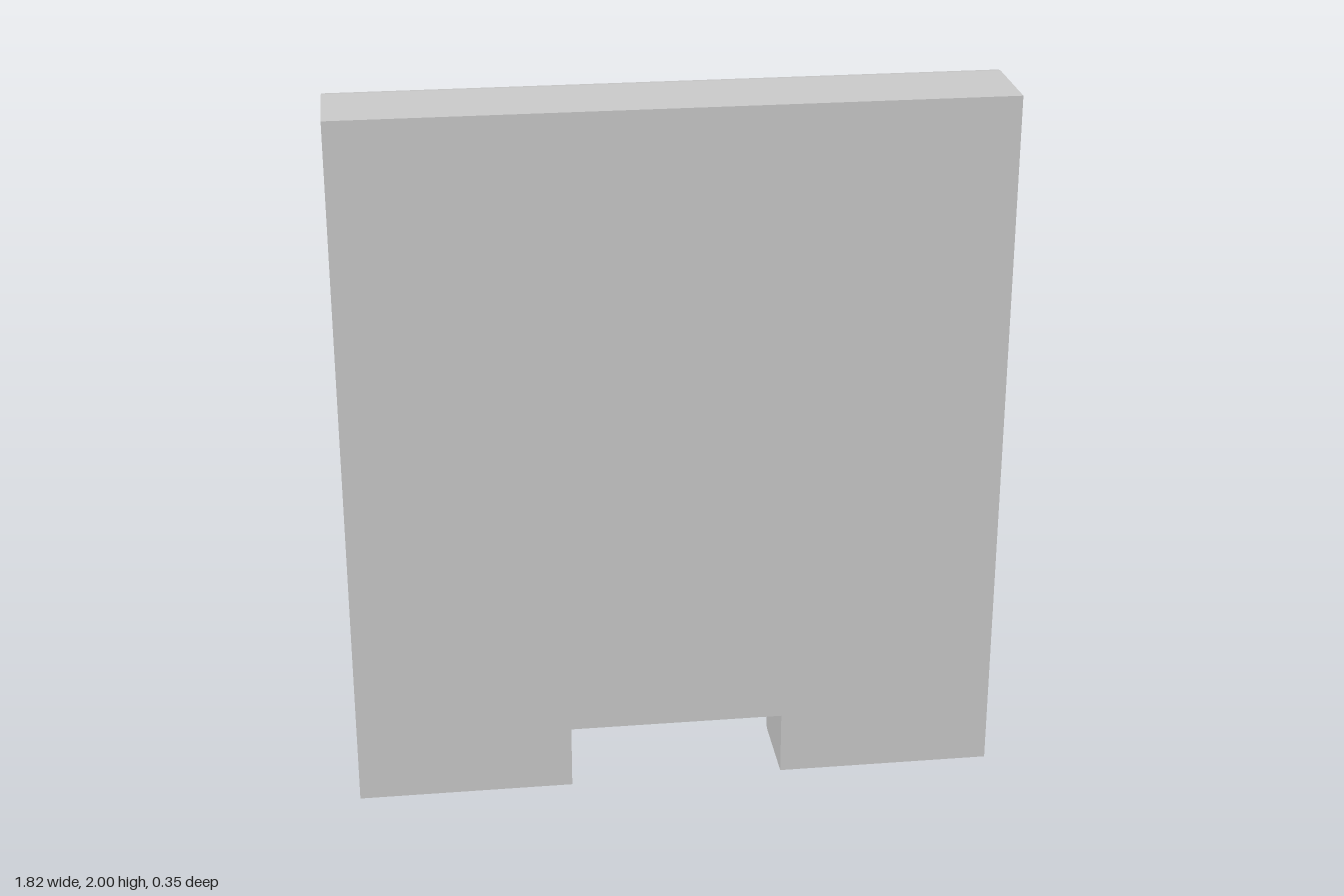
import * as THREE from 'three';

const W = 0.909, H = 2, D = 0.173;        // half width, height, half depth
const NOTCH_W = 0.303, NOTCH_H = 0.182;   // half width and height of the notch
const R = 0.107, STEPS = 8;               // rounding of the back edges
const DISH_Y = 1.09, DISH_R = 0.545, DISH_D = 0.1, SIDES = 20;

const outline = [
  [-W, 0], [-NOTCH_W, 0], [-NOTCH_W, NOTCH_H], [NOTCH_W, NOTCH_H],
  [NOTCH_W, 0], [W, 0], [W, H], [-W, H],
].map(([x, y]) => new THREE.Vector2(x, y));
const N = outline.length;

// Outward normal of each outline edge
const normals = outline.map((p, i) => {
  const d = outline[(i + 1) % N].clone().sub(p).normalize();
  return new THREE.Vector2(d.y, -d.x);
});

// Outline corner moved inwards with a mitre
function insetCorner(i, amount) {
  return outline[i].clone()
    .addScaledVector(normals[i], -amount)
    .addScaledVector(normals[(i + N - 1) % N], -amount);
}

// One side wall, running from the front face over the rounded back edge
function edgeStrip(i) {
  const profile = [{ inset: 0, z: D, a: 0 }];
  for (let k = 0; k <= STEPS; k++) {
    const a = (k / STEPS) * Math.PI / 2;
    profile.push({ inset: R * (1 - Math.cos(a)), z: -D + R - R * Math.sin(a), a });
  }
  const pos = [], nor = [], idx = [];
  profile.forEach(({ inset, z, a }, k) => {
    for (const c of [i, (i + 1) % N]) {
      const p = insetCorner(c, inset);
      pos.push(p.x, p.y, z);
      nor.push(normals[i].x * Math.cos(a), normals[i].y * Math.cos(a), -Math.sin(a));
    }
    if (k > 0) {
      const s = 2 * (k - 1);
      idx.push(s, s + 2, s + 1, s + 1, s + 2, s + 3);
    }
  });
  const geo = new THREE.BufferGeometry();
  geo.setAttribute('position', new THREE.Float32BufferAttribute(pos, 3));
  geo.setAttribute('normal', new THREE.Float32BufferAttribute(nor, 3));
  geo.setIndex(idx);
  return geo;
}

export function createModel() {
  const group = new THREE.Group();
  group.name = 'notchedPlate';
  const material = new THREE.MeshStandardMaterial({ color: 0xcccccc });
  const add = (name, geometry, parent = group) => {
    const mesh = new THREE.Mesh(geometry, material);
    mesh.name = name;
    parent.add(mesh);
    return mesh;
  };

  // Flat front
  add('frontFace', new THREE.ShapeGeometry(new THREE.Shape(outline)).translate(0, 0, D));

  // Side walls with rounded back edges
  const walls = new THREE.Group();
  walls.name = 'sideWalls';
  group.add(walls);
  outline.forEach((_, i) => add('sideWall', edgeStrip(i), walls));

  // Back face with a round opening, mirrored in x so that it faces backwards
  const rim = DISH_R + DISH_D;
  const back = new THREE.Shape(outline.map((_, i) => insetCorner(i, R)));
  const hole = [];
  for (let k = 0; k < SIDES; k++) {
    const a = (k / SIDES) * Math.PI * 2;
    hole.push(new THREE.Vector2(rim * Math.cos(a), DISH_Y + rim * Math.sin(a)));
  }
  back.holes.push(new THREE.Path(hole));
  add('backFace', new THREE.ShapeGeometry(back).rotateY(Math.PI).translate(0, 0, -D));

  // Dish: rounded rim curving down to a flat floor
  const curve = [];
  for (let k = 0; k <= 6; k++) {
    const a = (k / 6) * Math.PI / 2;
    curve.push(new THREE.Vector2(rim - DISH_D * Math.sin(a), DISH_D * (Math.cos(a) - 1)));
  }
  add('dishRim', new THREE.LatheGeometry(curve, SIDES)
    .rotateX(-Math.PI / 2).translate(0, DISH_Y, -D));
  add('dishFloor', new THREE.CircleGeometry(DISH_R, SIDES)
    .rotateY(Math.PI).translate(0, DISH_Y, -D + DISH_D));

  return group;
}
